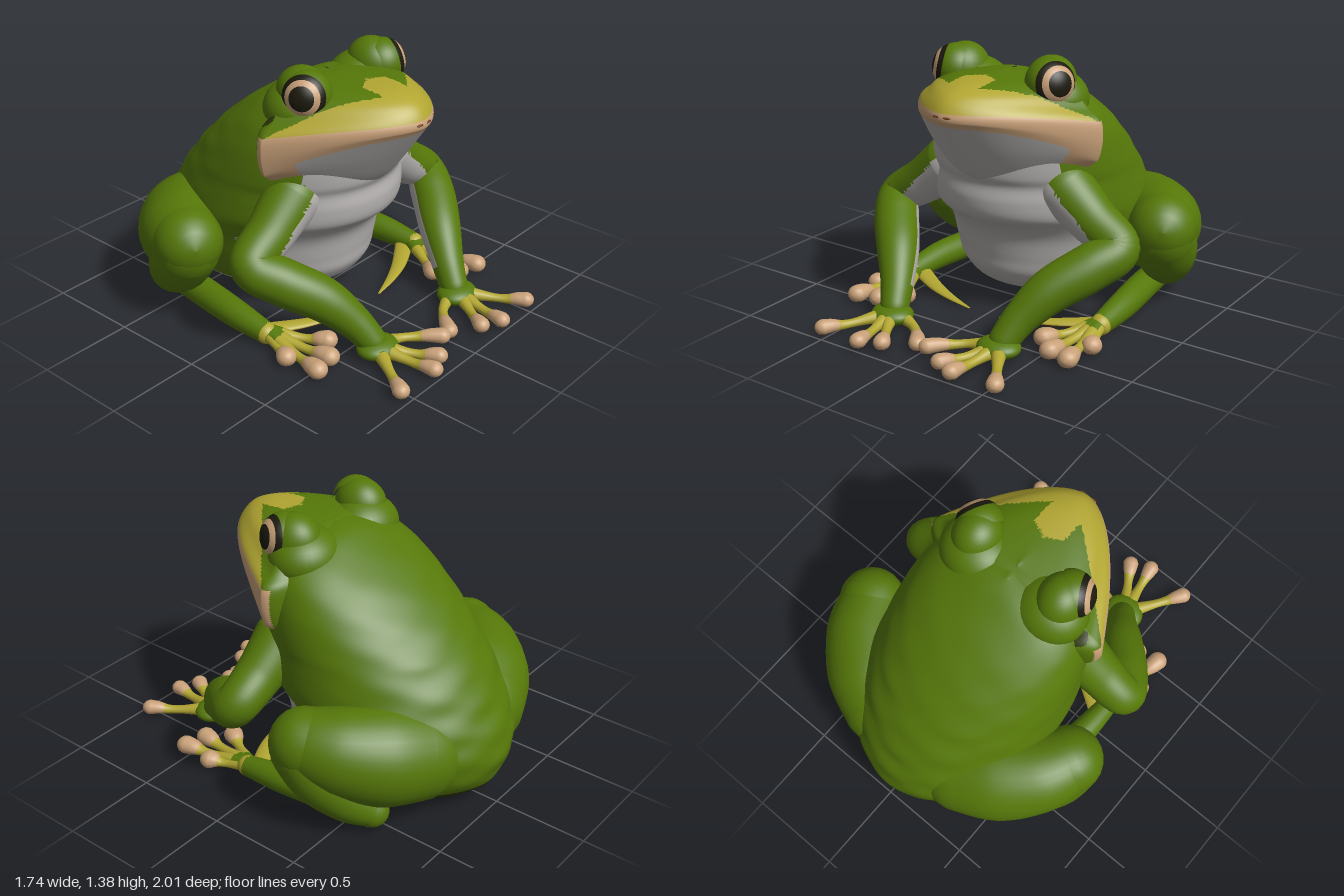
import * as THREE from 'three';

const mat = (name, color) => Object.assign(new THREE.MeshStandardMaterial({ color }), { name });
const V = (x, y, z) => new THREE.Vector3(x, y, z);
const GREEN = 0, YELLOW = 1, TAN = 2, WHITE = 3, BROWN = 4, BLACK = 5, DARK = 6;

// Catmull-Rom sampling of every column of a table of rows, t in 0..1
function sample(rows, t) {
  const n = rows.length - 1, f = Math.min(t * n, n - 1e-6), i = Math.floor(f), u = f - i;
  const at = k => rows[Math.max(0, Math.min(n, k))];
  return rows[0].map((_, c) => {
    const [a, b, d, e] = [at(i - 1)[c], at(i)[c], at(i + 1)[c], at(i + 2)[c]];
    return b + 0.5 * u * (d - a + u * (2 * a - 5 * b + 4 * d - e + u * (3 * (b - d) + e - a)));
  });
}

export function createModel() {
  const model = new THREE.Group();
  model.name = 'frog';
  const materials = [
    mat('skin green', 0x567809), mat('snout yellow', 0xb2a632), mat('lip tan', 0xcaa27a),
    mat('belly white', 0xb2afad), mat('sole brown', 0x6e3f1e), mat('pupil black', 0x1c1a0e),
    mat('shaded green', 0x2f3a0c),
  ];

  // Closed skin over rings; pick(centre, normal, t) chooses each face's colour
  function skin(name, rings, pick, parent = model) {
    const m = rings[0].length, pts = rings.flat(), tris = [];
    for (let i = 0; i < rings.length - 1; i++) for (let j = 0; j < m; j++) {
      const a = i * m + j, b = i * m + (j + 1) % m, t = (i + 0.5) / (rings.length - 1);
      tris.push([a, b, b + m, t], [a, b + m, a + m, t]);
    }
    const mid = pts.reduce((s, p) => s.add(p), V(0, 0, 0)).divideScalar(pts.length);
    let volume = 0;
    for (const [a, b, c] of tris) {
      volume += pts[a].clone().sub(mid).dot(pts[b].clone().sub(mid).cross(pts[c].clone().sub(mid)));
    }
    const bins = materials.map(() => []);
    for (const [a, b0, c0, t] of tris) {
      const [b, c] = volume < 0 ? [c0, b0] : [b0, c0];
      const centre = pts[a].clone().add(pts[b]).add(pts[c]).divideScalar(3);
      const normal = pts[b].clone().sub(pts[a]).cross(pts[c].clone().sub(pts[a])).normalize();
      bins[pick(centre, normal, t)].push(a, b, c);
    }
    const g = new THREE.BufferGeometry().setFromPoints(pts);
    g.setIndex(bins.flat());
    let start = 0;
    bins.forEach((bin, k) => {
      if (bin.length) g.addGroup(start, bin.length, k);
      start += bin.length;
    });
    g.computeVertexNormals();
    const mesh = new THREE.Mesh(g, materials);
    mesh.name = name;
    parent.add(mesh);
  }

  // Plain ellipsoid
  function ball(name, c, r, color, parent) {
    const mesh = new THREE.Mesh(new THREE.SphereGeometry(1, 32, 20), materials[color]);
    mesh.position.set(...c);
    mesh.scale.set(...r);
    mesh.name = name;
    parent.add(mesh);
  }

  // Round-ended limb through rows of x, y, z, radius
  function limb(name, rows, pick, parent, steps = 30, sides = 24, flat = 1) {
    const rings = [], cap = 6;
    const ring = (t, k, off) => {
      const [x, y, z, r] = sample(rows, t);
      const p = sample(rows, Math.max(0, t - 0.03)), q = sample(rows, Math.min(1, t + 0.03));
      const T = V(q[0] - p[0], q[1] - p[1], q[2] - p[2]).normalize();
      const side = V(0, 1, 0).cross(T).normalize(), up = T.clone().cross(side);
      rings.push(Array.from({ length: sides }, (_, j) => {
        const a = j / sides * Math.PI * 2;
        const v = V(x, y, z).addScaledVector(T, off * r)
          .addScaledVector(side, r * k * Math.cos(a)).addScaledVector(up, r * k * flat * Math.sin(a));
        v.y = Math.max(0, v.y);
        return v;
      }));
    };
    for (let i = 0; i < cap; i++) {
      const a = 0.01 + i / cap * Math.PI / 2;
      ring(0, Math.sin(a), -Math.cos(a));
    }
    for (let i = 0; i <= steps; i++) ring(i / steps, 1, 0);
    for (let i = cap - 1; i >= 0; i--) {
      const a = 0.01 + i / cap * Math.PI / 2;
      ring(1, Math.sin(a), Math.cos(a));
    }
    skin(name, rings, pick, parent);
  }

  // Body: horizontal slices of height, front z, back z, half width
  const slices = [
    [0, -0.6, -0.72, 0.01], [0.005, -0.5, -0.76, 0.16], [0.04, -0.2, -0.86, 0.3], [0.1, 0.08, -0.94, 0.41],
    [0.2, 0.19, -0.99, 0.48], [0.3, 0.21, -1.0, 0.52], [0.42, 0.23, -0.965, 0.54], [0.5, 0.28, -0.92, 0.55],
    [0.57, 0.36, -0.88, 0.55], [0.66, 0.375, -0.82, 0.54], [0.74, 0.36, -0.75, 0.53], [0.8, 0.38, -0.7, 0.525],
    [0.9, 0.38, -0.6, 0.51], [1.0, 0.36, -0.485, 0.485], [1.1, 0.32, -0.35, 0.44], [1.19, 0.28, -0.2, 0.36],
    [1.25, 0.24, -0.09, 0.22], [1.275, 0.1, 0.0, 0.01],
  ];
  const bodyRings = Array.from({ length: 111 }, (_, i) => {
    const [y, f, b, w] = sample(slices, i / 110);
    return Array.from({ length: 130 }, (_, j) => {
      const a = j / 130 * Math.PI * 2, back = Math.max(0, -Math.cos(a));
      const lump = 1 + 0.008 * back * Math.sin(y * 42) * Math.cos(a * 7);
      return V(w * Math.sin(a) * lump, y, (f + b) / 2 + (f - b) / 2 * Math.cos(a) * lump);
    });
  });
  skin('body', bodyRings, c => {
    if (c.y < 0.12) return c.z < -0.48 ? DARK : WHITE;
    return c.z > -0.16 + 0.36 * THREE.MathUtils.smoothstep(c.y, 0.44, 0.6) ? WHITE : GREEN;
  });

  // Head: slices of half width, front height, side height, front z; the lip is rows 3 to 5
  const jaw = [
    [0.28, 0.72, 0.72, 0.3], [0.42, 0.8, 0.8, 0.4], [0.5, 0.94, 0.86, 0.505], [0.53, 1.1, 0.895, 0.615],
    [0.548, 1.135, 0.99, 0.637], [0.535, 1.17, 1.085, 0.63], [0.465, 1.215, 1.14, 0.6],
    [0.4, 1.25, 1.2, 0.55], [0.29, 1.275, 1.25, 0.46], [0.15, 1.283, 1.272, 0.32], [0.0005, 1.285, 1.28, 0.09],
  ];
  const headRings = Array.from({ length: 81 }, (_, i) => {
    const [w, yf, ys, zf] = sample(jaw, i / 80);
    return Array.from({ length: 150 }, (_, j) => {
      const a = j / 150 * Math.PI * 2, u = Math.abs(Math.sin(a)), front = Math.cos(a) > 0;
      const y = front ? yf + (ys - yf) * u ** 2.6 : ys;
      return V(w * Math.sin(a), y, 0.07 + Math.max(0, zf - 0.07) * (front ? 1 - u ** 1.7 : 0)
        + (front ? 0 : 0.3 * w * Math.cos(a)));
    });
  });
  const earSpot = V(-0.43, 1.14, 0.02);
  skin('head', headRings, (c, n, t) => {
    const x = Math.abs(c.x);
    if (t < 0.3) {
      if (c.z < 0.03) return GREEN;
      return x > 0.36 && c.z < 0.2 ? TAN : WHITE;
    }
    if (t < 0.5) return c.z > 0.03 ? TAN : GREEN;
    if (c.distanceTo(earSpot) < 0.05) return DARK;
    return c.z > 0.53 - 0.85 * x || (x < 0.09 && c.z > 0.27 + x * 0.5) ? YELLOW : GREEN;
  });

  // Digits fan out from a base to round pads; each tip is x, sideways bend, z
  function digits(name, base, tips, pad, parent) {
    for (const [x, bend, z] of tips) {
      const at = (k, y, r) => [base[0] + (x - base[0]) * k, y, base[1] + (z - base[1]) * k + bend * Math.sin(Math.PI * k), r];
      const rows = [at(0, 0.05, 0.05), at(0.25, 0.045, 0.036), at(0.5, 0.036, 0.025), at(0.68, 0.034, 0.027),
        at(0.82, 0.04, pad * 0.85), at(0.94, 0.04, pad)];
      limb(name, rows, (c, n, t) => {
        if (n.y < -0.8) return BROWN;
        return t > 0.62 ? TAN : t < 0.3 ? GREEN : YELLOW;
      }, parent, 22, 16, 0.9);
    }
  }

  for (const s of [1, -1]) {
    const side = s > 0 ? 'left' : 'right';
    const flip = rows => rows.map(([x, ...rest]) => [s * x, ...rest]);
    const group = name => {
      const g = new THREE.Group();
      g.name = side + name;
      model.add(g);
      return g;
    };

    // Eye: bulging lid blended into the brow, with ringed eyeball caps around the gaze
    const eye = group('Eye'), gaze = V(s * 0.86, 0.17, 0.44).normalize();
    ball('eyeLid', [s * 0.265, 1.25, 0.09], [0.125, 0.134, 0.14], GREEN, eye);
    ball('brow', [s * 0.235, 1.16, 0.05], [0.2, 0.15, 0.18], GREEN, eye);
    [['pupil', 0, 0.53, BLACK], ['iris', 0.53, 0.8, TAN], ['eyeRim', 0.8, 1.08, BLACK], ['eyeball', 1.08, 1.9, GREEN]]
      .forEach(([name, from, to, color]) => {
        const cap = new THREE.Mesh(new THREE.SphereGeometry(0.125, 36, 8, 0, Math.PI * 2, from, to - from), materials[color]);
        cap.quaternion.setFromUnitVectors(V(0, 1, 0), gaze);
        cap.position.set(s * 0.285, 1.256, 0.135);
        cap.name = name;
        eye.add(cap);
      });
    ball('nostril', [s * 0.03, 1.152, 0.628], [0.022, 0.006, 0.012], BROWN, model);

    // Front leg
    const arm = group('FrontLeg');
    const inner = V(-0.7 * s, -0.35, -0.6).normalize();
    limb('arm', flip([[0.36, 0.72, 0.1, 0.15], [0.53, 0.59, 0.11, 0.125], [0.69, 0.48, 0.13, 0.112],
      [0.61, 0.4, 0.26, 0.12], [0.48, 0.3, 0.41, 0.112], [0.39, 0.18, 0.53, 0.088], [0.345, 0.08, 0.61, 0.075]]),
    (c, n, t) => {
      const upper = t < 0.42 && n.z > 0 && c.y < 1.14 - 1.03 * Math.abs(c.x);
      const under = t > 0.45 && t < 0.8 && n.dot(inner) > 0.7;
      return upper || under ? WHITE : GREEN;
    }, arm, 60, 40);
    ball('palm', [s * 0.335, 0.052, 0.64], [0.115, 0.05, 0.1], GREEN, arm);
    digits('finger', [s * 0.34, 0.64], flip([[0.545, 0, 0.965], [0.285, 0, 0.98], [0.17, 0, 0.925], [0.012, -0.07, 0.84]]), 0.044, arm);

    // Hind leg: thigh, folded shin and long foot
    const leg = group('HindLeg');
    limb('thigh', flip([[0.28, 0.32, -0.67, 0.25], [0.45, 0.36, -0.58, 0.26], [0.6, 0.41, -0.46, 0.225], [0.69, 0.445, -0.32, 0.18]]),
      c => c.y < 0.1 ? DARK : GREEN, leg, 30, 32);
    limb('shin', flip([[0.695, 0.41, -0.32, 0.17], [0.67, 0.29, -0.41, 0.165], [0.61, 0.17, -0.53, 0.13], [0.55, 0.1, -0.62, 0.09]]),
      c => c.y < 0.04 ? DARK : GREEN, leg, 30, 32);
    limb('foot', flip([[0.54, 0.07, -0.6, 0.07], [0.56, 0.07, -0.4, 0.078], [0.6, 0.068, -0.1, 0.074], [0.61, 0.05, 0.14, 0.056]]),
      (c, n) => c.z > 0 && n.y < -0.8 ? BROWN : c.z > 0.14 ? YELLOW : GREEN, leg, 30, 24);
    digits('toe', [s * 0.6, 0.14],
      flip([[0.69, 0, 0.36], [0.67, 0, 0.56], [0.54, 0, 0.53], [0.43, 0, 0.42]]), 0.052, leg);
    limb('innerWeb', flip([[0.57, 0.035, 0.1, 0.05], [0.4, 0.028, 0.2, 0.04], [0.25, 0.022, 0.26, 0.025], [0.1, 0.016, 0.3, 0.006]]),
      (c, n) => n.y < 0.3 ? BROWN : YELLOW, leg, 20, 16, 0.45);
  }
  return model;
}
